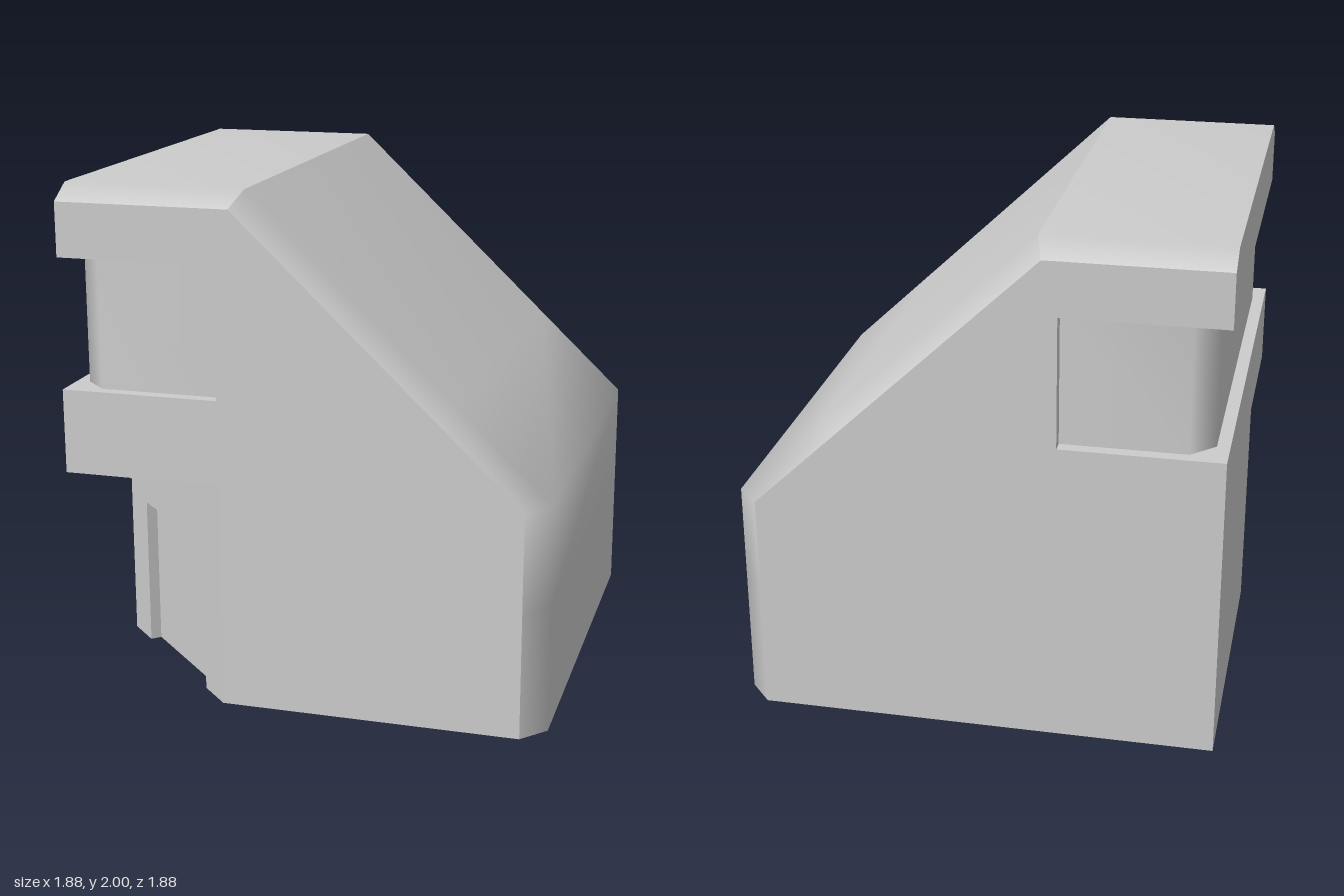
import * as THREE from 'three';

const material = new THREE.MeshStandardMaterial({ color: 0xcccccc, side: THREE.DoubleSide });

// Smooth sheet through rows of points
function sheet(rows) {
  const n = rows[0].length, index = [];
  for (let r = 0; r < rows.length - 1; r++) {
    for (let c = 0; c < n - 1; c++) {
      const a = r * n + c, b = a + 1, d = a + n, e = d + 1;
      index.push(a, d, b, b, d, e);
    }
  }
  const g = new THREE.BufferGeometry();
  g.setAttribute('position', new THREE.Float32BufferAttribute(rows.flat(2), 3));
  g.setIndex(index);
  g.computeVertexNormals();
  return g;
}

// Flat panel from an outline
const panel = (points) =>
  new THREE.ShapeGeometry(new THREE.Shape(points.map(([x, y]) => new THREE.Vector2(x, y))));

export function createModel() {
  const group = new THREE.Group();
  const add = (name, geometry, parent = group) => {
    const mesh = new THREE.Mesh(geometry, material);
    mesh.name = name;
    parent.add(mesh);
    return mesh;
  };

  const W = 0.94, IN = 0.84;             // half width, start of the chamfer
  const JAMB = -0.32;                    // inner end of window and porch cuts
  const SILL = 1.22, HEAD = 1.73, PORCH = 0.89;

  // Roof and sloped side, each row: outer profile point and its chamfered edge
  const row = (px, py, qx, qy) => [[qx, qy, W], [px, py, IN], [px, py, -IN], [qx, qy, -W]];
  const slope = (t) => row(-0.23 + 1.17 * t, 2 - 1.11 * t, -0.26 + 1.11 * t, 1.94 - 1.05 * t);
  add('roof', sheet([row(-W, 2, -W, 1.94), row(-0.23, 2, -0.26, 1.94)]));
  add('slopedSide', sheet([slope(0), slope(0.7), slope(1), row(W, 0.5, 0.85, 0.5), row(W, 0, 0.85, 0)]));

  // Front and back walls, notched for the window band; the front also for the porch
  const upper = [[0.85, 0], [0.85, 0.89], [-0.26, 1.94], [-W, 1.94],
    [-W, HEAD], [JAMB, HEAD], [JAMB, SILL], [-W, SILL]];
  add('frontWall', panel([...upper, [-W, PORCH], [JAMB, PORCH], [JAMB, 0]])).position.z = W;
  const back = panel([...upper, [-W, 0]].map(([x, y]) => [-x, y])).rotateY(Math.PI);
  add('backWall', back).position.z = -W;

  // Upright side wall, below and above the window band
  const side = (name, points) => {
    add(name, panel(points).rotateY(-Math.PI / 2)).position.x = -W;
  };
  side('lowerSideWall', [[-W, 0], [-JAMB, 0], [-JAMB, PORCH], [W, PORCH], [W, SILL], [-W, SILL]]);
  side('upperSideWall', [[-W, HEAD], [W, HEAD], [W, 1.94], [IN, 2], [-IN, 2], [-W, 1.94]]);

  // Recessed window band around two corners
  const plan = [[JAMB, -0.89], [-0.8, -0.89], [-0.89, -0.8], [-0.89, 0.8], [-0.8, 0.89], [JAMB, 0.89]];
  const upright = (points) => sheet(points.map(([x, z]) => [[x, SILL, z], [x, HEAD, z]]));
  add('windowBand', upright(plan));
  add('backWindowJamb', upright([[JAMB, -W], [JAMB, -0.89]]));
  add('frontWindowJamb', upright([[JAMB, 0.89], [JAMB, W]]));
  const ledge = [...plan, [JAMB, W], [-W, W], [-W, -W], [JAMB, -W]];
  add('windowSill', panel(ledge).rotateX(-Math.PI / 2)).position.y = SILL;
  add('windowHead', panel(ledge).rotateX(Math.PI / 2)).position.y = HEAD;

  // Porch cut across the corner
  add('porchCeiling', panel([[-W, -JAMB], [JAMB, W], [-W, W]]).rotateX(Math.PI / 2)).position.y = PORCH;

  // Diagonal wall with a recessed door
  const entrance = new THREE.Group();
  entrance.name = 'entrance';
  entrance.position.set((JAMB - W) / 2, 0, (W - JAMB) / 2);
  entrance.rotation.y = -Math.PI / 4;
  group.add(entrance);
  const half = (W + JAMB) / Math.SQRT2, dw = 0.28, dh = 0.61, depth = 0.045;
  const opening = [[-dw, 0], [-dw, dh], [dw, dh], [dw, 0]];
  add('doorWall', panel([[-half, 0], ...opening, [half, 0], [half, PORCH], [-half, PORCH]]), entrance);
  add('door', panel(opening), entrance).position.z = -depth;
  for (let i = 0; i < 3; i++) {
    const reveal = [opening[i], opening[i + 1]].map(([x, y]) => [[x, y, -depth], [x, y, 0]]);
    add('doorReveal', sheet(reveal), entrance);
  }

  return group;
}
